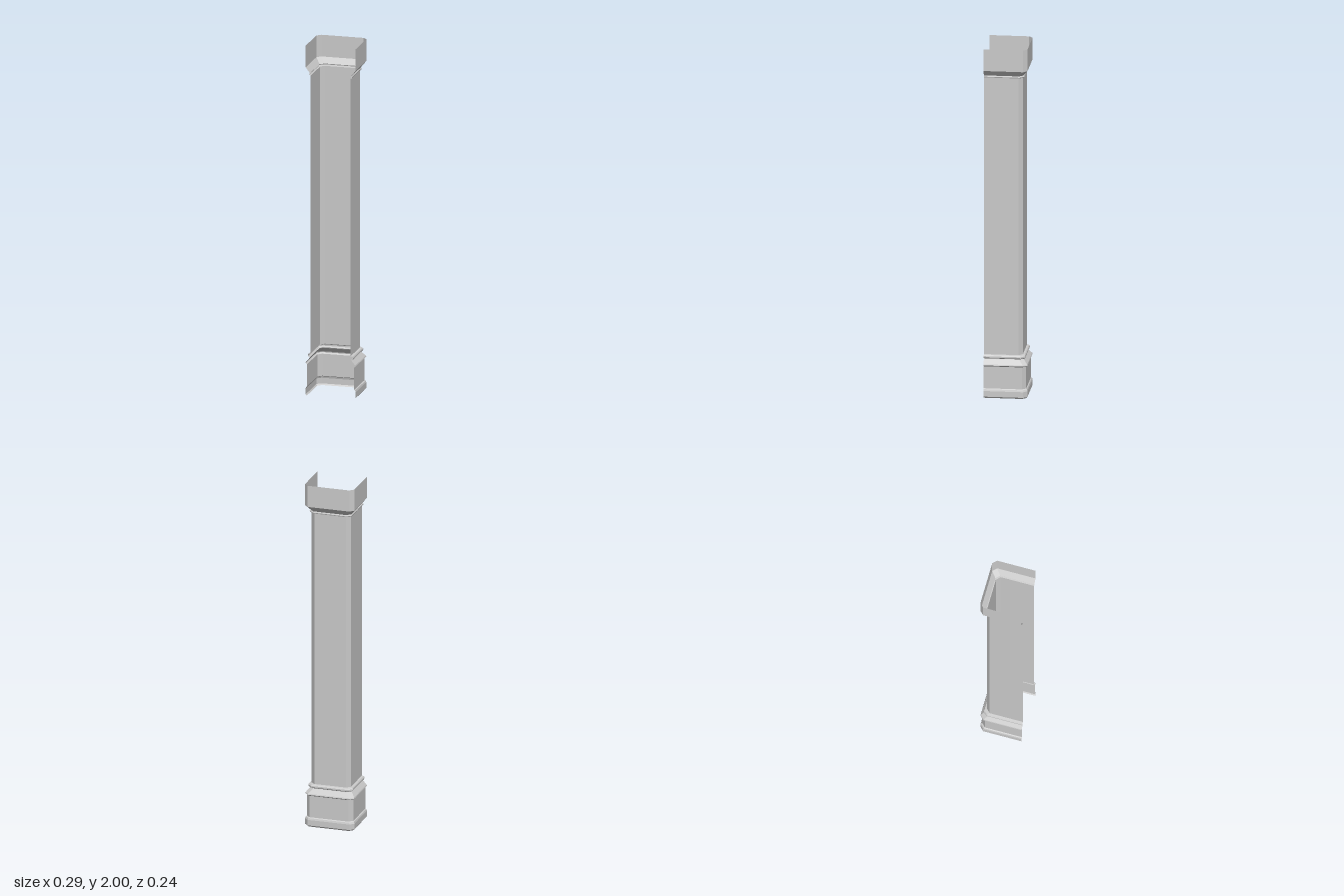
import * as THREE from 'three';

const material = new THREE.MeshStandardMaterial({ color: 0xcccccc, flatShading: true, side: THREE.DoubleSide });

// U-shaped plan with chamfered back corners, pushed outwards by d
function outline(d) {
  const w = 0.114 + d, back = -0.092 - d, c = 0.022, front = 0.121;
  return [[w, front], [w, back + c], [w - c, back], [c - w, back], [-w, back + c], [-w, front]];
}

// Sweeps a moulding profile of [offset, height] points around the plan
function shell(name, profile) {
  const pos = [];
  for (let i = 0; i < profile.length - 1; i++) {
    const [d0, y0] = profile[i], [d1, y1] = profile[i + 1];
    const lo = outline(d0), hi = outline(d1);
    for (let j = 0; j < lo.length - 1; j++) {
      const a = [lo[j][0], y0, lo[j][1]], b = [lo[j + 1][0], y0, lo[j + 1][1]];
      const c = [hi[j + 1][0], y1, hi[j + 1][1]], e = [hi[j][0], y1, hi[j][1]];
      pos.push(...a, ...b, ...c, ...a, ...c, ...e);
    }
  }
  const geometry = new THREE.BufferGeometry();
  geometry.setAttribute('position', new THREE.Float32BufferAttribute(pos, 3));
  geometry.computeVertexNormals();
  const mesh = new THREE.Mesh(geometry, material);
  mesh.name = name;
  return mesh;
}

export function createModel() {
  const group = new THREE.Group();
  group.name = 'columnCasing';
  group.add(
    // Skirting, plinth and sloped ledge
    shell('base', [[0.023, 0], [0.029, 0.008], [0.029, 0.04], [0.026, 0.05], [0.021, 0.054],
      [0.021, 0.18], [0.029, 0.187], [0.027, 0.193], [0.006, 0.218], [0.004, 0.222]]),
    // Rounded bead above the base
    shell('lowerBead', [[0.004, 0.222], [0.011, 0.223], [0.015, 0.228], [0.015, 0.236],
      [0.011, 0.242], [0, 0.244]]),
    shell('shaft', [[0, 0.244], [0, 1.832]]),
    // Thin bead under the capital
    shell('upperBead', [[0, 1.832], [0.007, 1.833], [0.009, 1.838], [0.007, 1.843], [0.004, 1.844]]),
    // Flared capital
    shell('capital', [[0.004, 1.844], [0.029, 1.876], [0.029, 2]]),
  );
  return group;
}
